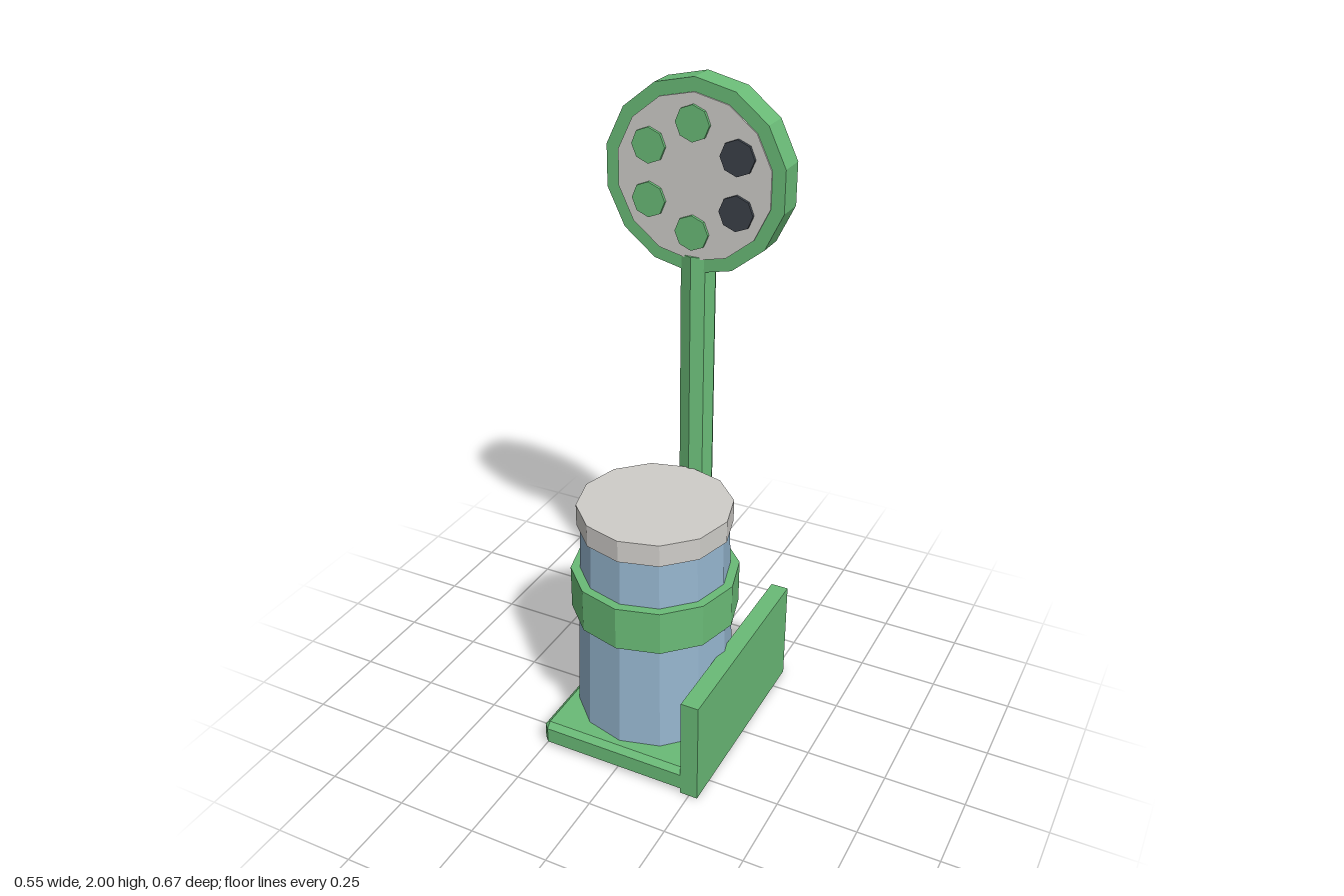
import * as THREE from 'three';
import { ConvexGeometry } from 'three/addons/geometries/ConvexGeometry.js';

const CX = -0.005; // shared centre line of barrel, pole and disc

function material(name, color) {
  const m = new THREE.MeshStandardMaterial({ color, flatShading: true });
  m.name = name;
  return m;
}

// Box with every edge and corner chamfered by c
function chamferedBox(w, h, d, c) {
  const points = [];
  for (const sx of [-1, 1]) for (const sy of [-1, 1]) for (const sz of [-1, 1]) {
    for (let axis = 0; axis < 3; axis++) {
      const inset = [c, c, c];
      inset[axis] = 0;
      points.push(new THREE.Vector3(
        sx * (w / 2 - inset[0]), sy * (h / 2 - inset[1]), sz * (d / 2 - inset[2])));
    }
  }
  return new ConvexGeometry(points);
}

export function createModel() {
  const green = material('green', 0x6abb77);
  const blue = material('steel blue', 0x95b5ce);
  const grey = material('light grey', 0xcfcdc9);
  const dark = material('charcoal', 0x3b4149);

  const model = new THREE.Group();
  const add = (name, geometry, mat, x, y, z) => {
    const mesh = new THREE.Mesh(geometry, mat);
    mesh.name = name;
    mesh.position.set(x, y, z);
    model.add(mesh);
    return mesh;
  };
  // Upright prism from y0 to y1
  const upright = (name, rTop, rBottom, y0, y1, sides, mat, z) =>
    add(name, new THREE.CylinderGeometry(rTop, rBottom, y1 - y0, sides), mat, CX, (y0 + y1) / 2, z);
  // Prism lying along z, seen as a disc from front and back
  const facing = (name, r, depth, sides, mat, x, y) =>
    add(name, new THREE.CylinderGeometry(r, r, depth, sides).rotateX(Math.PI / 2), mat, x, y, -0.227);

  // Base plate and side wall
  add('basePlate', chamferedBox(0.504, 0.085, 0.674, 0.017), green, CX, 0.0425, 0);
  add('sideWall', new THREE.BoxGeometry(0.056, 0.34, 0.674), green, 0.249, 0.17, 0);

  // Barrel with band and lid
  upright('barrelBody', 0.223, 0.245, 0.08, 0.74, 12, blue, 0.055);
  upright('barrelBand', 0.256, 0.256, 0.445, 0.585, 12, green, 0.055);
  upright('barrelLid', 0.234, 0.234, 0.735, 0.805, 12, grey, 0.055);

  // Pole
  upright('pole', 0.054, 0.054, 0.07, 1.495, 8, green, -0.224);

  // Round head with a pale face on both sides
  const headY = 1.723;
  facing('headRim', 0.28, 0.085, 14, green, CX, headY);
  facing('headFace', 0.24, 0.094, 14, grey, CX, headY);

  // Ring of six studs passing through the head; the two on the left are dark
  for (let i = 0; i < 6; i++) {
    const a = (i * Math.PI) / 3;
    const mat = i === 1 || i === 2 ? dark : green;
    facing('headStud' + (i + 1), 0.052, 0.112, 8, mat,
      CX + 0.156 * Math.sin(a), headY + 0.156 * Math.cos(a));
  }

  return model;
}
